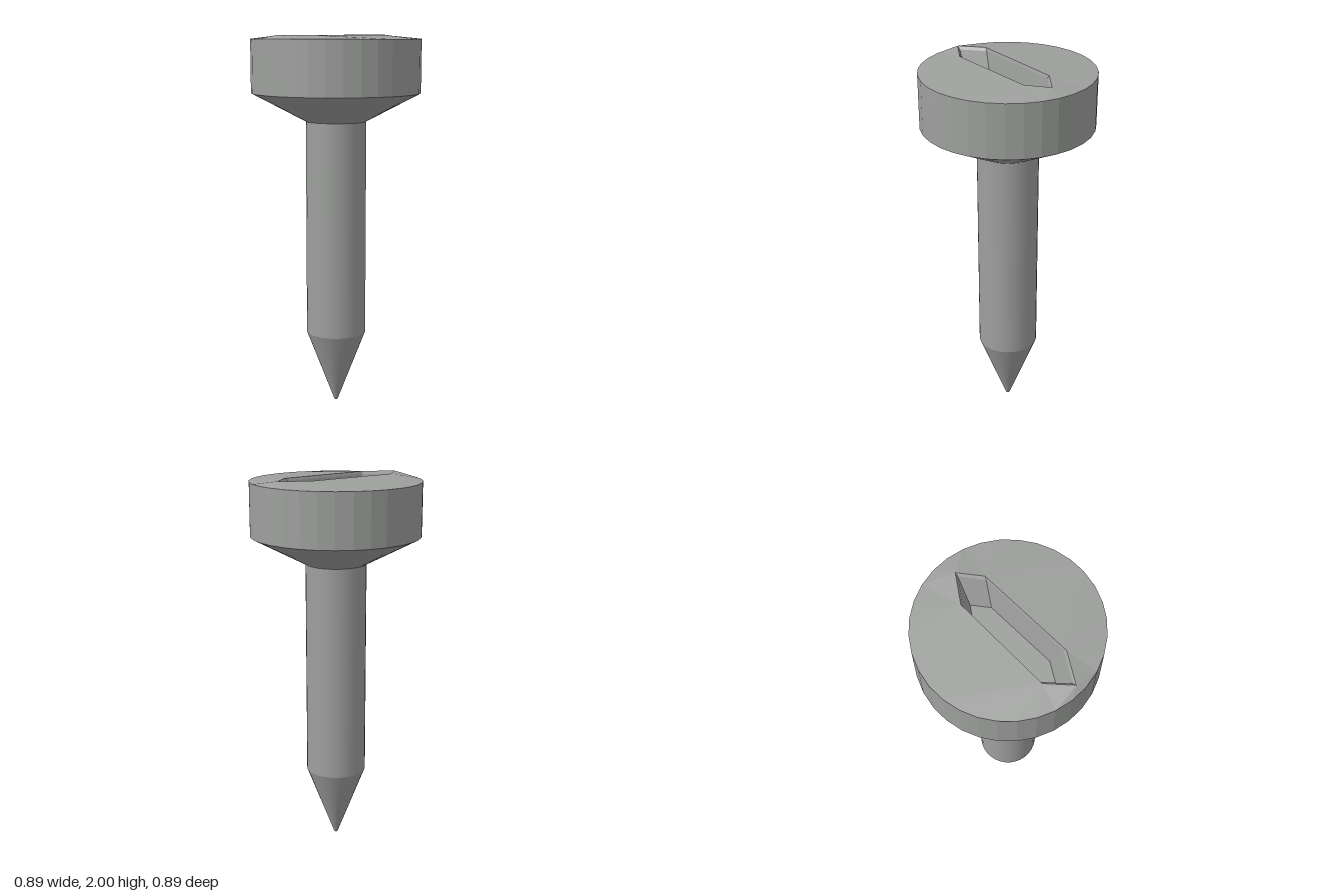
import * as THREE from 'three';

const SIDES = 32;
const HEAD_R = 0.447;
const RIM_Y = 1.98;

// Slot outline on the top of the head, as [x, z], ordered by angle from +x towards +z
const SLOT = [[0.12, 0.245], [0.05, 0.39], [-0.055, 0.295], [-0.095, -0.205], [-0.02, -0.34], [0.07, -0.245]];

// Slot outline scaled about the axis and placed at a height
const slotLoop = (scale, y) => SLOT.map(([x, z]) => new THREE.Vector3(x * scale, y, z * scale));

function geometryFrom(triangles) {
  return new THREE.BufferGeometry().setFromPoints(triangles);
}

// Band of quads between an outer loop and an inner loop with the same number of points
function band(outer, inner) {
  const tris = [];
  outer.forEach((a, i) => {
    const j = (i + 1) % outer.length;
    tris.push(a, inner[i], inner[j], a, inner[j], outer[j]);
  });
  return tris;
}

// Slightly raised face between the round rim and the slot, stitched along the shortest diagonals
function headFace(slot) {
  const start = 6;
  const ring = Array.from({ length: SIDES }, (_, i) => {
    const a = ((i + start) / SIDES) * Math.PI * 2;
    return new THREE.Vector3(HEAD_R * Math.cos(a), RIM_Y, HEAD_R * Math.sin(a));
  });
  const tris = [];
  let i = 0;
  let j = 0;
  while (i < SIDES || j < slot.length) {
    const r = ring[i % SIDES];
    const s = slot[j % slot.length];
    const nextR = ring[(i + 1) % SIDES];
    const nextS = slot[(j + 1) % slot.length];
    const ringStep = j === slot.length || (i < SIDES && nextR.distanceTo(s) < r.distanceTo(nextS));
    tris.push(r, s, ringStep ? nextR : nextS);
    if (ringStep) i++;
    else j++;
  }
  return tris;
}

export function createModel() {
  const root = new THREE.Group();
  root.name = 'screw';

  const steel = new THREE.MeshStandardMaterial({ color: 0x9ea09e });
  steel.name = 'grey steel';

  function add(name, geometry, flat) {
    const geo = flat && geometry.index ? geometry.toNonIndexed() : geometry;
    if (flat) geo.computeVertexNormals();
    const mesh = new THREE.Mesh(geo, steel);
    mesh.name = name;
    root.add(mesh);
  }

  const lathe = (...points) =>
    new THREE.LatheGeometry(points.map(([r, y]) => new THREE.Vector2(r, y)), SIDES);

  // Pointed end, shaft and head, each its own piece so the edges between them stay sharp
  add('tipCap', lathe([0, 0], [0.01, 0.008]));
  add('point', lathe([0.01, 0.008], [0.16, 0.4]));
  add('shaft', lathe([0.16, 0.4], [0.16, 1.55]));
  add('headUnderside', lathe([0.16, 1.55], [HEAD_R, 1.7]));
  add('headSide', lathe([HEAD_R, 1.7], [HEAD_R, RIM_Y]), true);

  // Top of the head with its eased slot edge, sloping slot walls and slot floor
  const crest = slotLoop(1.05, 2);
  const edge = slotLoop(1, 1.985);
  const floor = slotLoop(0.78, 1.8);
  add('headFace', geometryFrom(headFace(crest)), true);
  add('slotEdge', geometryFrom(band(crest, edge)), true);
  add('slotWalls', geometryFrom(band(edge, floor)), true);

  const floorTris = [];
  for (let k = 1; k < floor.length - 1; k++) floorTris.push(floor[0], floor[k + 1], floor[k]);
  add('slotFloor', geometryFrom(floorTris), true);

  return root;
}
